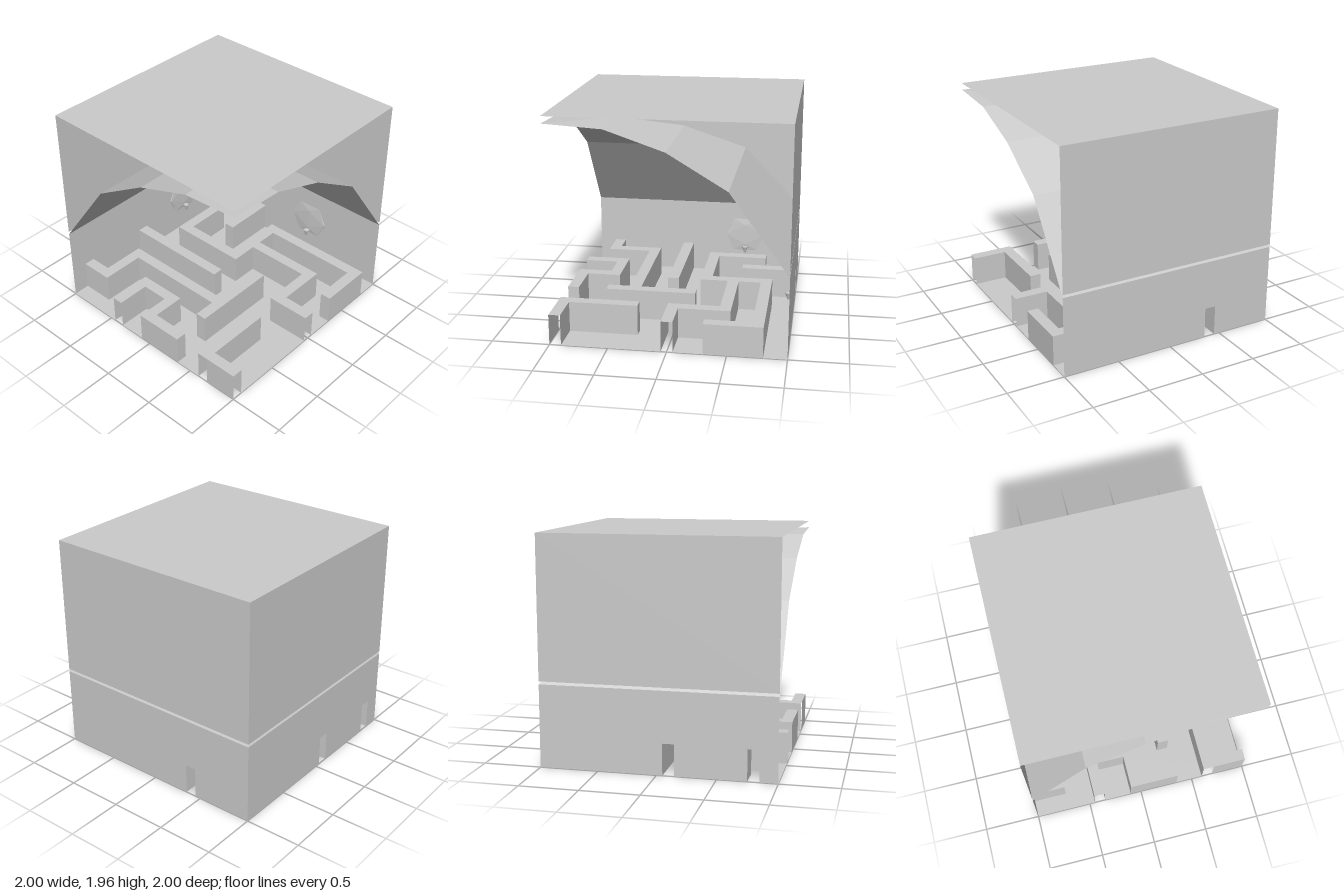
import * as THREE from 'three';

const material = new THREE.MeshStandardMaterial({ color: 0xcccccc, flatShading: true, side: THREE.DoubleSide });

// Collects four-cornered faces into one mesh
function quadMesh(name, quads) {
  const pos = [];
  for (const [a, b, c, d] of quads) pos.push(...a, ...b, ...c, ...a, ...c, ...d);
  const g = new THREE.BufferGeometry();
  g.setAttribute('position', new THREE.Float32BufferAttribute(pos, 3));
  g.computeVertexNormals();
  const m = new THREE.Mesh(g, material);
  m.name = name;
  return m;
}

// Maze walls as x0, x1, z0, z1
const H = 0.27;
const WALLS = [
  [-0.75, -0.65, -0.7, -0.15], [-0.75, 0, -0.25, -0.15], [-0.1, 0, -0.8, -0.15], [-0.1, 1, -0.8, -0.7],
  [0.9, 1, -0.8, -0.3], [0, 0.7, -0.5, -0.4], [0.6, 0.7, -0.5, 0.05], [0.6, 1, -0.05, 0.05],
  [-0.45, -0.35, -1, -0.5], [-1, 0, 0.05, 0.15],
  [-1, -0.7, 0.75, 0.85], [-0.8, -0.7, 0.35, 0.85], [-0.8, 0.25, 0.35, 0.45], [0.25, 0.35, -0.15, 0.65],
  [-0.45, -0.35, 0.6, 1], [-0.45, 0, 0.6, 0.7], [-0.1, 0, 0.6, 1], [-0.1, 0.35, 0.9, 1],
  [0.6, 0.7, 0.3, 1], [0.6, 1, 0.9, 1],
];
const isWall = (x, z) => WALLS.some(([a, b, c, d]) => x > a && x < b && z > c && z < d);

// Floor, hollow wall tops and wall sides from one grid of cells
function buildMaze() {
  const floor = [], tops = [], sides = [];
  const n = 40, s = 2 / n;
  // passages left open where a wall runs out of the model
  const openFront = (x) => (x > -0.45 && x < -0.35) || (x > 0.6 && x < 0.7);
  const openSide = (z) => (z > -0.05 && z < 0.05) || z > 0.9;
  for (let i = 0; i < n; i++) for (let j = 0; j < n; j++) {
    const x0 = -1 + i * s, x1 = x0 + s, z0 = -1 + j * s, z1 = z0 + s;
    const cx = x0 + s / 2, cz = z0 + s / 2, w = isWall(cx, cz);
    const y = w ? H : 0;
    (w ? tops : floor).push([[x0, y, z0], [x0, y, z1], [x1, y, z1], [x1, y, z0]]);
    const right = i === n - 1 ? w && !openSide(cz) : w !== isWall(cx + s, cz);
    const front = j === n - 1 ? w && !openFront(cx) : w !== isWall(cx, cz + s);
    if (right) {
      const q = [[x1, 0, z1], [x1, 0, z0], [x1, H, z0], [x1, H, z1]];
      sides.push(w ? q : q.reverse());
    }
    if (front) {
      const q = [[x0, 0, z1], [x1, 0, z1], [x1, H, z1], [x0, H, z1]];
      sides.push(w ? q : q.reverse());
    }
  }
  const g = new THREE.Group();
  g.name = 'maze';
  g.add(quadMesh('floor', floor), quadMesh('mazeWallTops', tops), quadMesh('mazeWallSides', sides));
  return g;
}

// Lower room wall with notches where maze walls meet it
function notchedWall(name, slots) {
  const s = new THREE.Shape();
  s.moveTo(-1, 0);
  for (const [a, b] of slots) {
    s.lineTo(a, 0); s.lineTo(a, H); s.lineTo(b, H); s.lineTo(b, 0);
  }
  s.lineTo(1, 0); s.lineTo(1, 0.71); s.lineTo(-1, 0.71);
  const m = new THREE.Mesh(new THREE.ShapeGeometry(s), material);
  m.name = name;
  return m;
}

// Faceted vault rising from both walls, mitred along the diagonal
function buildVault() {
  const p = [[-1, 0.71], [-0.5, 1.4], [0, 1.7], [0.5, 1.87], [1, 1.9]];
  const quads = [];
  for (let i = 0; i < p.length - 1; i++) {
    const [a, h] = p[i], [b, k] = p[i + 1];
    quads.push([[a, h, a], [1, h, a], [1, k, b], [b, k, b]]);
    quads.push([[a, h, 1], [a, h, a], [b, k, b], [b, k, 1]]);
  }
  return quadMesh('vault', quads);
}

// Wall torch: a small cup in front of a shallow faceted stone
function buildTorch(name) {
  const g = new THREE.Group();
  g.name = name;
  const cup = new THREE.Mesh(new THREE.CylinderGeometry(0.028, 0.008, 0.06, 8), material);
  cup.name = 'torchCup';
  cup.position.set(0, 0.24, 0.03);
  const stone = new THREE.Mesh(new THREE.IcosahedronGeometry(1, 0), material);
  stone.name = 'wallStone';
  stone.scale.set(0.22, 0.19, 0.012);
  stone.position.set(0, 0.39, 0);
  g.add(cup, stone);
  return g;
}

export function createModel() {
  const model = new THREE.Group();
  model.name = 'mazeRoom';
  model.add(buildMaze(), buildVault());

  const backWall = notchedWall('backWall', [[-0.45, -0.35]]);
  backWall.position.z = -1;
  // local x runs towards -z after the turn
  const sideWall = notchedWall('sideWall', [[-0.85, -0.75], [-0.15, -0.05]]);
  sideWall.rotation.y = Math.PI / 2;
  sideWall.position.x = -1;
  model.add(backWall, sideWall);

  // Upper casing: two walls and a flat roof
  const lo = 0.735, hi = 1.96;
  model.add(quadMesh('upperCasing', [
    [[-1, lo, -1], [1, lo, -1], [1, hi, -1], [-1, hi, -1]],
    [[-1, lo, 1], [-1, lo, -1], [-1, hi, -1], [-1, hi, 1]],
    [[-1, hi, 1], [1, hi, 1], [1, hi, -1], [-1, hi, -1]],
  ]));

  // Torches on both walls
  const backTorch = buildTorch('backTorch');
  backTorch.position.set(0.21, 0, -0.99);
  const sideTorch = buildTorch('sideTorch');
  sideTorch.rotation.y = Math.PI / 2;
  sideTorch.position.set(-0.99, 0, -0.47);
  model.add(backTorch, sideTorch);

  // Small ring set in the floor
  const ring = new THREE.Mesh(new THREE.TorusGeometry(0.05, 0.004, 4, 16), material);
  ring.name = 'floorRing';
  ring.rotation.x = Math.PI / 2;
  ring.position.set(-0.93, 0.003, 0.69);
  model.add(ring);
  return model;
}
